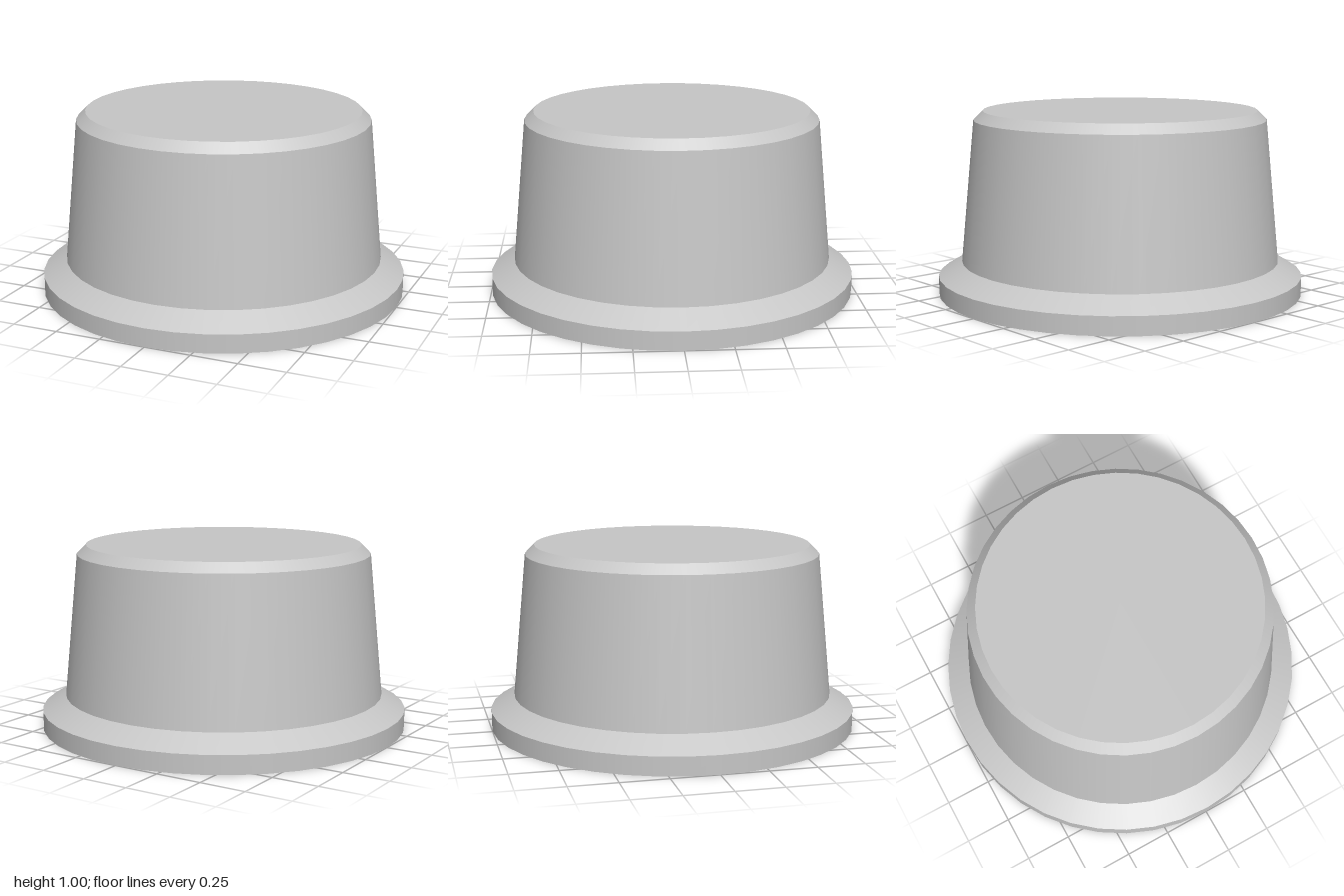
import * as THREE from 'three';

const SIDES = 40;

export function createModel() {
  const group = new THREE.Group();
  group.name = 'bumperFoot';
  const grey = new THREE.MeshStandardMaterial({ color: 0xc6c6c6 });
  grey.name = 'light grey';

  function add(name, geometry, y) {
    const mesh = new THREE.Mesh(geometry, grey);
    mesh.name = name;
    mesh.position.y = y;
    group.add(mesh);
  }

  // Round bands stacked from the base up: smooth around, sharp where they meet
  const bands = [
    // name, bottom radius, top radius, bottom y, top y
    ['flangeEdge', 1, 1, 0, 0.1],
    ['flangeSlope', 1, 0.872, 0.1, 0.176],
    ['taperedBody', 0.872, 0.797, 0.176, 0.95],
    ['topChamfer', 0.797, 0.747, 0.95, 1],
  ];
  for (const [name, r0, r1, y0, y1] of bands) {
    add(name, new THREE.CylinderGeometry(r1, r0, y1 - y0, SIDES, 1, true), (y0 + y1) / 2);
  }

  // Flat end faces, with corners lined up with the bands
  add('topFace', new THREE.CircleGeometry(0.747, SIDES).rotateX(-Math.PI / 2), 1);
  add('bottomFace', new THREE.CircleGeometry(1, SIDES).rotateX(Math.PI / 2), 0);

  return group;
}
